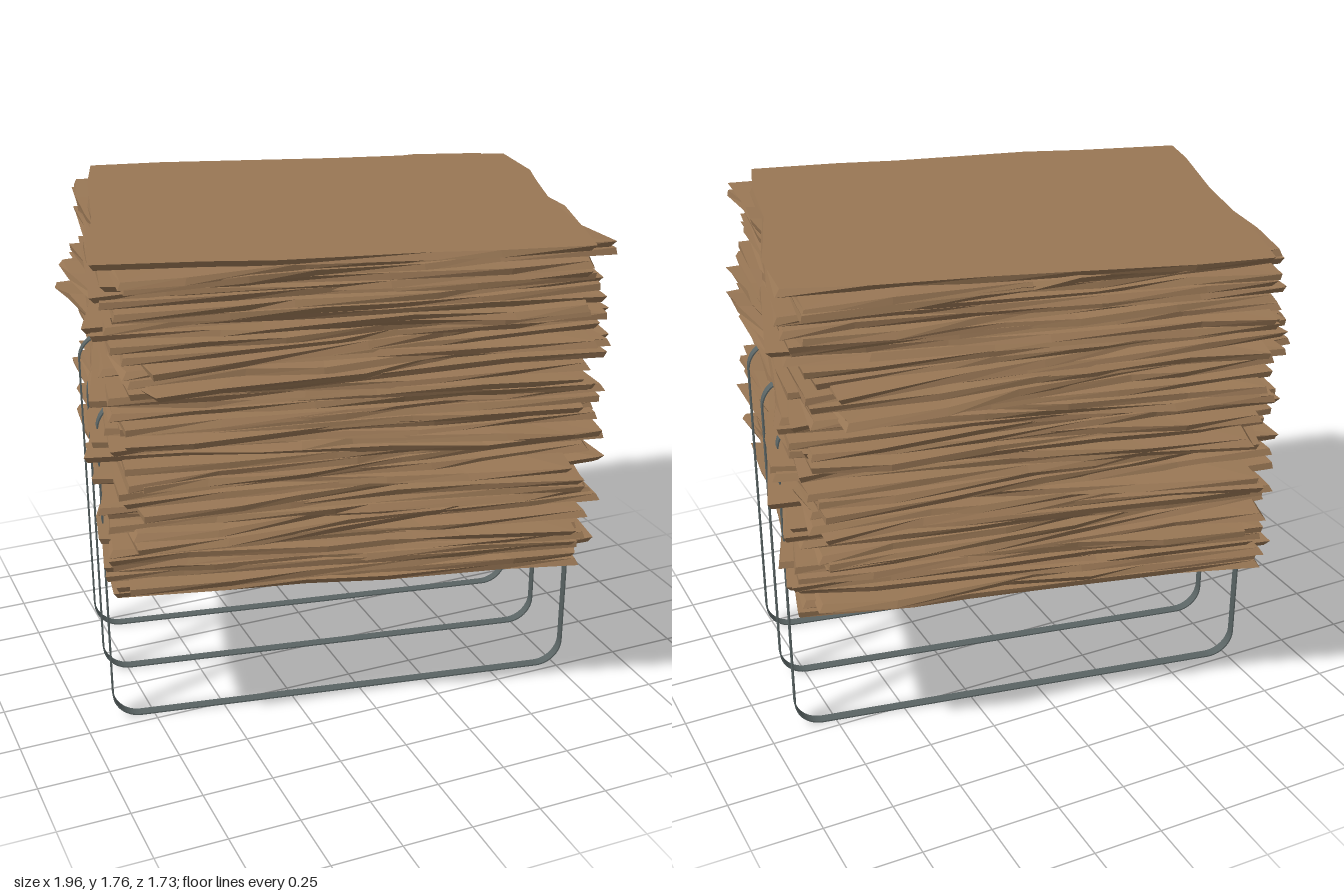
import * as THREE from 'three';

// seeded random numbers
let seed = 7;
function rand(min, max) {
  seed = (seed * 16807) % 2147483647;
  return min + (max - min) * (seed / 2147483647);
}

const STACK_BOTTOM = 0.6, STACK_TOP = 1.76, SHEETS = 52;
const HALF_X = 0.8, HALF_Z = 0.612;

// Twist of the stack in degrees, sampled evenly from bottom to top
const TWIST = [14, 9, 18, 10, 19, 4, 8, 19, 4, 17, 7, 11, 20, 9,
  15, 7, 17, 13, 3, 15, 3, 7, 20, 8, 9, 15, 6, 15.5];

function twistAt(t) {
  const f = t * (TWIST.length - 1), i = Math.min(Math.floor(f), TWIST.length - 2);
  return THREE.MathUtils.lerp(TWIST[i], TWIST[i + 1], f - i);
}

// Rectangle outline with unevenly spaced points along each side
function sheetOutline() {
  const corners = [[-1, -1], [-1, 1], [1, 1], [1, -1]];
  const points = [];
  corners.forEach(([x, z], c) => {
    const [nx, nz] = corners[(c + 1) % 4];
    const steps = 5;
    for (let k = 0; k < steps; k++) {
      const t = k === 0 ? 0 : (k + rand(-0.35, 0.35)) / steps;
      points.push([(x + (nx - x) * t) * HALF_X, (z + (nz - z) * t) * HALF_Z]);
    }
  });
  return points;
}

// One sheet: wavy outline with ragged edges leaning in or out;
// wave is how far the edge strays up or down, as a share of the thickness
function sheetGeometry(thickness, wave) {
  const outline = sheetOutline(), n = outline.length;
  const pos = [], idx = [];
  const edge = outline.map(() => ({ grow: rand(-0.02, 0.018), lean: rand(-0.009, 0.009), lift: rand(-wave, wave) }));
  for (const level of [0, 1]) {
    outline.forEach(([x, z], i) => {
      const { grow, lean, lift } = edge[i];
      const g = grow + (level ? lean : -lean);
      pos.push(x * (1 + g / HALF_X), (level + lift) * thickness, z * (1 + g / HALF_Z));
    });
  }
  pos.push(0, 0, 0, 0, thickness, 0);
  for (let i = 0; i < n; i++) {
    const j = (i + 1) % n;
    idx.push(i, j, n + j, i, n + j, n + i);
    idx.push(2 * n, j, i, 2 * n + 1, n + i, n + j);
  }
  const geo = new THREE.BufferGeometry();
  geo.setAttribute('position', new THREE.Float32BufferAttribute(pos, 3));
  geo.setIndex(idx);
  const flat = geo.toNonIndexed();
  flat.computeVertexNormals();
  return flat;
}

function roundedRect(target, x, y0, y1, r) {
  target.moveTo(-x + r, y0);
  target.lineTo(x - r, y0);
  target.absarc(x - r, y0 + r, r, -Math.PI / 2, 0);
  target.lineTo(x, y1 - r);
  target.absarc(x - r, y1 - r, r, 0, Math.PI / 2);
  target.lineTo(-x + r, y1);
  target.absarc(-x + r, y1 - r, r, Math.PI / 2, Math.PI);
  target.lineTo(-x, y0 + r);
  target.absarc(-x + r, y0 + r, r, Math.PI, Math.PI * 1.5);
  return target;
}

export function createModel() {
  seed = 7;
  const cardboard = new THREE.MeshStandardMaterial({ color: 0x997755 });
  cardboard.name = 'brown cardboard';
  cardboard.flatShading = true;
  const steel = new THREE.MeshStandardMaterial({ color: 0x5a6464 });
  steel.name = 'grey steel';

  const model = new THREE.Group();
  model.name = 'sheetStackStool';

  // Seat: pile of twisted sheets
  const stack = new THREE.Group();
  stack.name = 'sheetStack';
  const pitch = (STACK_TOP - STACK_BOTTOM) / SHEETS;
  for (let i = 0; i < SHEETS; i++) {
    const outer = i === 0 || i === SHEETS - 1;
    const sheet = new THREE.Mesh(sheetGeometry(pitch, outer ? 0 : 0.4), cardboard);
    sheet.name = 'sheet' + (i + 1);
    sheet.position.y = STACK_BOTTOM + i * pitch;
    const jitter = outer ? 0 : rand(-3, 3);
    const angle = THREE.MathUtils.clamp(twistAt(i / (SHEETS - 1)) + jitter, 0, 20);
    sheet.rotation.y = -THREE.MathUtils.degToRad(angle);
    stack.add(sheet);
  }
  model.add(stack);

  // Base: three flat steel hoops running through the pile
  const frame = new THREE.Group();
  frame.name = 'hoopFrame';
  const width = 0.036, band = 0.005;
  const shape = roundedRect(new THREE.Shape(), 0.848, 0, 1.225, 0.1);
  shape.holes.push(roundedRect(new THREE.Path(), 0.848 - band, band, 1.225 - band, 0.1 - band));
  const hoopGeo = new THREE.ExtrudeGeometry(shape, { depth: width, bevelEnabled: false, curveSegments: 8 });
  hoopGeo.translate(0, 0, -width / 2);
  ['back', 'middle', 'front'].forEach((name, i) => {
    const hoop = new THREE.Mesh(hoopGeo, steel);
    hoop.name = name + 'Hoop';
    hoop.position.z = (i - 1) * 0.328;
    frame.add(hoop);
  });
  frame.rotation.y = -THREE.MathUtils.degToRad(10);
  model.add(frame);

  return model;
}
